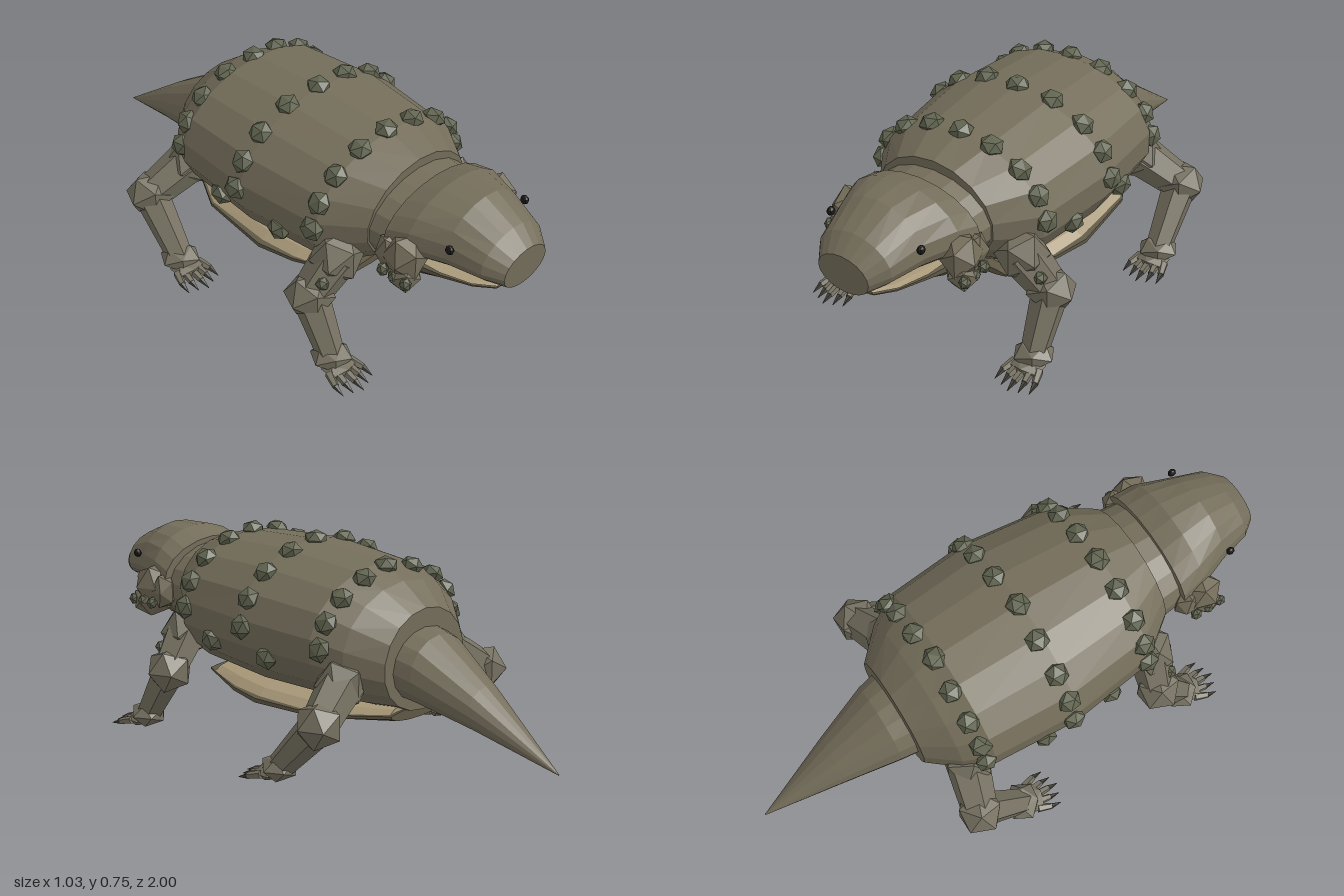
import * as THREE from 'three';

const mat = (color) => new THREE.MeshStandardMaterial({ color, flatShading: true, roughness: 0.9 });
const HIDE = mat(0x746d5a), LIMB = mat(0x757060), STUD = mat(0x60644f);
const BELLY = mat(0x5f5846), PALE = mat(0xa89878), CLAW = mat(0x403e34), EYE = mat(0x1a1816);
const UP = new THREE.Vector3(0, 1, 0);
const V = (x, y, z) => new THREE.Vector3(x, y, z);

// Body sections, front to back: [z, centreY, halfWidth, heightAbove, depthBelow]
const BODY = [
  [0.54, 0.48, 0.235, 0.19, 0.16],
  [0.40, 0.46, 0.34, 0.25, 0.235],
  [0.08, 0.46, 0.38, 0.265, 0.25],
  [-0.24, 0.45, 0.355, 0.245, 0.235],
  [-0.34, 0.42, 0.30, 0.225, 0.205],
  [-0.44, 0.385, 0.205, 0.185, 0.17],
];

// Point on a section; the angle runs from the top towards +x
function sectionPoint([z, cy, w, up, down], a) {
  const c = Math.cos(a);
  return V(w * Math.sin(a), cy + c * (c > 0 ? up : down), z);
}

// Capped skin over elliptical sections ordered front to back
function loft(name, rings, material, n = 18) {
  const pos = [], idx = [], last = (rings.length - 1) * n;
  for (const r of rings)
    for (let j = 0; j < n; j++) pos.push(...sectionPoint(r, (j / n) * Math.PI * 2).toArray());
  const front = rings.length * n, back = front + 1;
  for (const r of [rings[0], rings[rings.length - 1]]) pos.push(0, r[1], r[0]);
  for (let j = 0; j < n; j++) {
    const k = (j + 1) % n;
    idx.push(front, k, j, back, last + j, last + k);
    for (let i = 0; i < rings.length - 1; i++) {
      const a = i * n, b = a + n;
      idx.push(a + j, a + k, b + j, a + k, b + k, b + j);
    }
  }
  const g = new THREE.BufferGeometry();
  g.setAttribute('position', new THREE.Float32BufferAttribute(pos, 3));
  g.setIndex(idx);
  g.computeVertexNormals();
  const mesh = new THREE.Mesh(g, material);
  mesh.name = name;
  return mesh;
}

function lump(name, p, r, material, scale = [1, 1, 1], turn = 0) {
  const m = new THREE.Mesh(new THREE.IcosahedronGeometry(r, 0), material);
  m.name = name;
  m.position.copy(p);
  m.scale.set(...scale);
  m.rotation.y = turn;
  return m;
}

// Tapered segment between two points
function segment(name, a, b, ra, rb, material, sides = 7) {
  const dir = b.clone().sub(a);
  const m = new THREE.Mesh(new THREE.CylinderGeometry(rb, ra, dir.length(), sides), material);
  m.name = name;
  m.position.copy(a).add(b).multiplyScalar(0.5);
  m.quaternion.setFromUnitVectors(UP, dir.normalize());
  return m;
}

// Interpolated body section at a given z
function bodySection(z) {
  let i = 0;
  while (i < BODY.length - 2 && z < BODY[i + 1][0]) i++;
  const t = (BODY[i][0] - z) / (BODY[i][0] - BODY[i + 1][0]);
  return BODY[i].map((v, k) => THREE.MathUtils.lerp(v, BODY[i + 1][k], t));
}

// Bony stud lying flat on the body surface
function stud(z, degrees) {
  const a = THREE.MathUtils.degToRad(degrees), s = bodySection(z);
  const p = sectionPoint(s, a);
  const normal = V(Math.sin(a) / s[2], Math.cos(a) / (Math.cos(a) > 0 ? s[3] : s[4]), 0).normalize();
  const m = lump('backStud', p, 0.044, STUD, [1, 0.78, 1]);
  m.quaternion.setFromUnitVectors(UP, normal);
  m.rotateY(z * 9 + degrees);
  return m;
}

function leg(name, side, [hip, knee, ankle]) {
  const g = new THREE.Group();
  g.name = name;
  const at = ([x, y, z]) => V(x * side, y, z);
  const h = at(hip), k = at(knee), a = at(ankle);
  g.add(
    lump('hipJoint', h, 0.1, LIMB, [1, 1, 0.9]),
    segment('upperLeg', h, k, 0.08, 0.065, LIMB, 6),
    lump('kneeJoint', k, 0.09, LIMB, [1, 0.95, 0.95], 0.4 * side),
    segment('lowerLeg', k, a, 0.065, 0.047, LIMB, 6),
    lump('ankleJoint', a, 0.068, LIMB, [1.1, 0.7, 1], 0.5 * side),
  );
  const palm = lump('foot', V(a.x, 0.035, a.z + 0.035), 0.055, LIMB, [1.15, 0.5, 1]);
  g.add(palm);
  // Five toes fanned forward, each ending in a dark claw
  for (let i = -2; i <= 2; i++) {
    const root = V(a.x + i * 0.024, 0.035, a.z + 0.055 - Math.abs(i) * 0.008);
    const tip = V(a.x + i * 0.032, 0.022, a.z + 0.115 - Math.abs(i) * 0.014);
    const end = tip.clone().add(V(i * 0.002, -0.013, 0.04));
    g.add(segment('toe', root, tip, 0.016, 0.012, LIMB, 5), segment('claw', tip, end, 0.011, 0.001, CLAW, 5));
  }
  return g;
}

export function createModel() {
  const model = new THREE.Group();
  model.name = 'armouredLizard';

  // Trunk, with a pale flank band and dark plate below
  model.add(loft('body', BODY, HIDE));
  model.add(loft('flankBand', [
    [0.38, 0.215, 0.21, 0.035, 0.005], [0.22, 0.205, 0.26, 0.052, 0.005],
    [0.08, 0.20, 0.285, 0.058, 0.005], [-0.2, 0.205, 0.265, 0.05, 0.005], [-0.42, 0.225, 0.15, 0.03, 0.005],
  ], PALE, 12));
  model.add(loft('bellyPlate', [
    [0.42, 0.215, 0.20, 0.012, 0.02], [0.22, 0.20, 0.275, 0.022, 0.035],
    [0.08, 0.197, 0.305, 0.025, 0.045], [-0.2, 0.20, 0.28, 0.02, 0.035], [-0.43, 0.22, 0.16, 0.012, 0.032],
  ], BELLY, 14));

  // Tail
  model.add(loft('tail', [
    [-0.40, 0.385, 0.17, 0.13, 0.13], [-0.50, 0.36, 0.15, 0.13, 0.12],
    [-0.70, 0.275, 0.092, 0.08, 0.075], [-1.0, 0.128, 0.002, 0.002, 0.002],
  ], HIDE, 16));

  // Neck and head
  model.add(loft('neck', [[0.66, 0.48, 0.215, 0.15, 0.14], [0.56, 0.48, 0.225, 0.155, 0.145], [0.45, 0.48, 0.24, 0.16, 0.16]], HIDE));
  model.add(loft('skull', [
    [1.0, 0.504, 0.10, 0.07, 0.065], [0.94, 0.52, 0.145, 0.105, 0.07],
    [0.82, 0.53, 0.178, 0.15, 0.085], [0.70, 0.53, 0.225, 0.152, 0.10],
    [0.615, 0.51, 0.24, 0.14, 0.12],
  ], HIDE, 20));
  model.add(loft('lips', [
    [0.965, 0.45, 0.085, 0.008, 0.012], [0.90, 0.45, 0.135, 0.01, 0.012],
    [0.80, 0.455, 0.172, 0.01, 0.015], [0.70, 0.465, 0.19, 0.01, 0.02],
  ], PALE, 12));
  model.add(loft('lowerJaw', [
    [0.96, 0.438, 0.085, 0.006, 0.008], [0.90, 0.437, 0.13, 0.006, 0.018],
    [0.80, 0.437, 0.168, 0.008, 0.037], [0.69, 0.43, 0.19, 0.02, 0.095],
    [0.60, 0.44, 0.18, 0.02, 0.08],
  ], BELLY, 14));

  // Studs along the spine
  for (const z of [0.39, 0.07, -0.26]) model.add(stud(z, 0));

  for (const side of [1, -1]) {
    const label = side > 0 ? 'left' : 'right';

    // Stud rows over the back and along the flanks
    for (const z of [0.39, 0.06, -0.27])
      for (const a of [21, 43, 64, 85]) model.add(stud(z, a * side));
    for (const z of [0.44, 0.24, -0.04]) model.add(stud(z, 106 * side));

    // Eyes and knobbly cheeks
    model.add(lump(label + 'Cheek', V(0.222 * side, 0.485, 0.695), 0.088, HIDE, [0.8, 1, 0.9], 0.3 * side));
    model.add(lump(label + 'LowerCheek', V(0.23 * side, 0.43, 0.70), 0.07, HIDE, [0.85, 0.9, 1.1], 0.7 * side));
    model.add(lump(label + 'RearCheek', V(0.225 * side, 0.475, 0.635), 0.065, HIDE, [0.8, 1.1, 0.8]));
    for (const z of [0.65, 0.70, 0.75])
      model.add(lump('cheekStud', V(0.275 * side, 0.435, z), 0.022, STUD, [0.9, 1.1, 1]));
    const eye = new THREE.Mesh(new THREE.SphereGeometry(0.016, 8, 6), EYE);
    eye.name = label + 'Eye';
    eye.position.set(0.18 * side, 0.578, 0.84);
    eye.scale.x = 0.8;
    model.add(eye);

    // Legs
    model.add(leg(label + 'FrontLeg', side, [[0.28, 0.37, 0.45], [0.385, 0.25, 0.43], [0.395, 0.06, 0.545]]));
    model.add(leg(label + 'RearLeg', side, [[0.27, 0.34, -0.31], [0.425, 0.245, -0.355], [0.44, 0.06, -0.185]]));
    model.add(lump(label + 'ShoulderStud', V(0.375 * side, 0.325, 0.48), 0.025, STUD));
  }
  return model;
}
